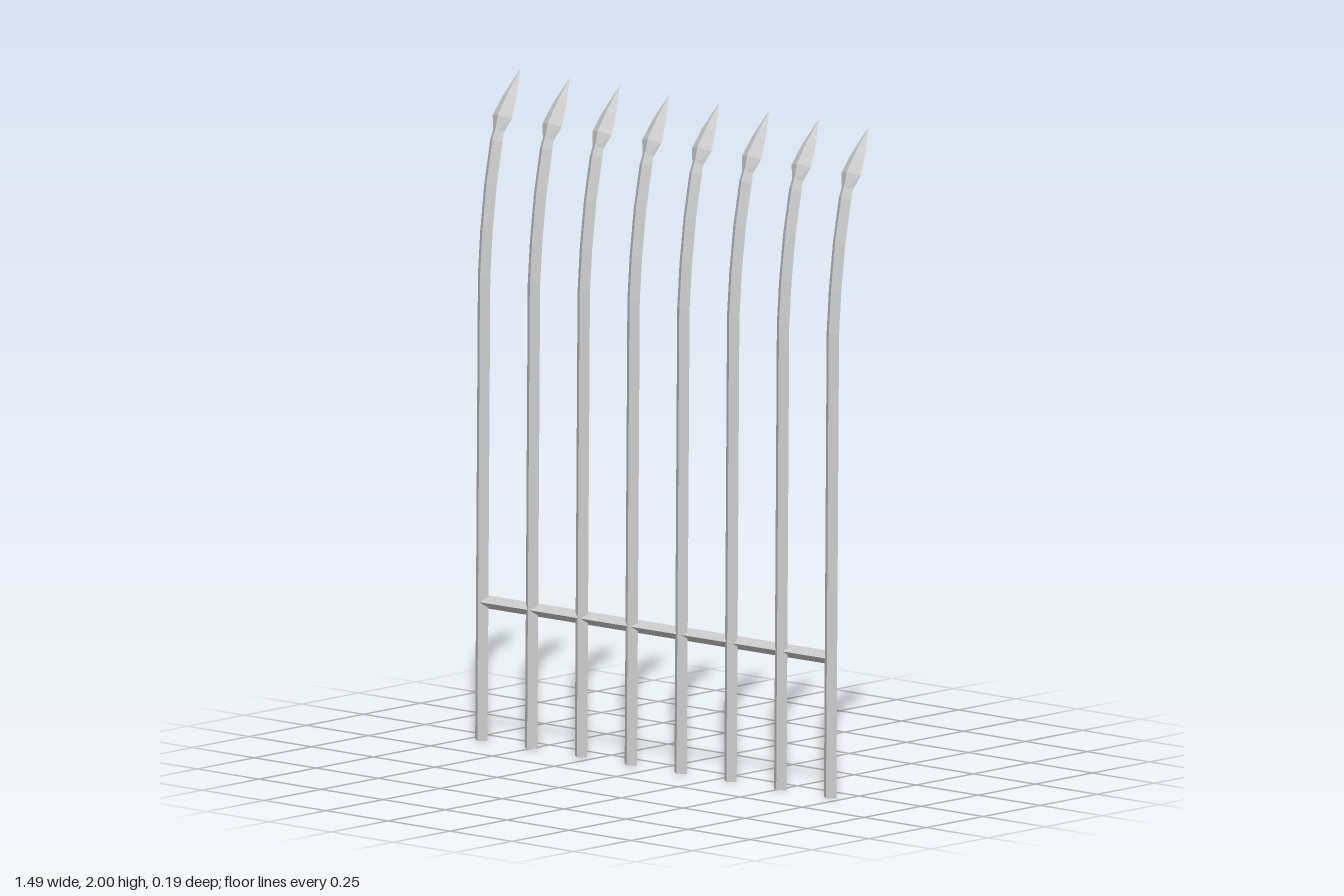
import * as THREE from 'three';

const material = new THREE.MeshStandardMaterial({ color: 0xcccccc, flatShading: true });

// Diamond section swept along a path in the yz plane.
// Each station is [y, z, half width in x, half depth]
function sweepDiamond(stations) {
  const rings = stations.map(([y, z, w, d], i) => {
    const a = stations[Math.max(i - 1, 0)];
    const b = stations[Math.min(i + 1, stations.length - 1)];
    const len = Math.hypot(b[0] - a[0], b[1] - a[1]);
    const ny = -(b[1] - a[1]) / len * d;
    const nz = (b[0] - a[0]) / len * d;
    return [[w, y, z], [0, y + ny, z + nz], [-w, y, z], [0, y - ny, z - nz]];
  });
  const pos = [];
  const tri = (...corners) => corners.forEach((c) => pos.push(...c));
  for (let i = 0; i < rings.length - 1; i++) {
    for (let k = 0; k < 4; k++) {
      const n = (k + 1) % 4;
      const lo = rings[i], hi = rings[i + 1];
      tri(lo[k], hi[k], lo[n]);
      tri(lo[n], hi[k], hi[n]);
    }
  }
  // end caps
  const s = rings[0], e = rings[rings.length - 1];
  tri(s[0], s[1], s[2]);
  tri(s[0], s[2], s[3]);
  tri(e[0], e[2], e[1]);
  tri(e[0], e[3], e[2]);
  const geometry = new THREE.BufferGeometry();
  geometry.setAttribute('position', new THREE.Float32BufferAttribute(pos, 3));
  geometry.computeVertexNormals();
  return geometry;
}

export function createModel() {
  const group = new THREE.Group();

  // upright: straight below, bending backwards near the top
  const W = 0.025, D = 0.018;
  const barGeometry = sweepDiamond([
    [0, 0.077, W, D],
    [1.4, 0.065, W, D],
    [1.53, 0.055, W, D],
    [1.67, 0.037, W, D],
    [1.8, 0.011, W, D],
    [1.835, 0, 0.021, 0.015],
  ]);

  // leaf-shaped spear point
  const headGeometry = sweepDiamond([
    [1.82, 0.004, 0.02, 0.015],
    [1.868, -0.015, 0.039, 0.021],
    [1.925, -0.047, 0.027, 0.014],
    [2, -0.092, 0.0005, 0.0005],
  ]);

  for (let i = 0; i < 8; i++) {
    const picket = new THREE.Group();
    picket.name = 'picket' + (i + 1);
    picket.position.x = (i - 3.5) * 0.201;
    const bar = new THREE.Mesh(barGeometry, material);
    bar.name = 'bar';
    const head = new THREE.Mesh(headGeometry, material);
    head.name = 'spearHead';
    picket.add(bar, head);
    group.add(picket);
  }

  // cross rail, slightly skewed against the row of bars
  const rail = new THREE.Mesh(new THREE.CylinderGeometry(0.02, 0.02, 1.39, 4), material);
  rail.name = 'crossRail';
  rail.rotation.set(0, 0.007, Math.PI / 2);
  rail.position.set(-0.005, 0.418, 0.065);
  group.add(rail);

  return group;
}
